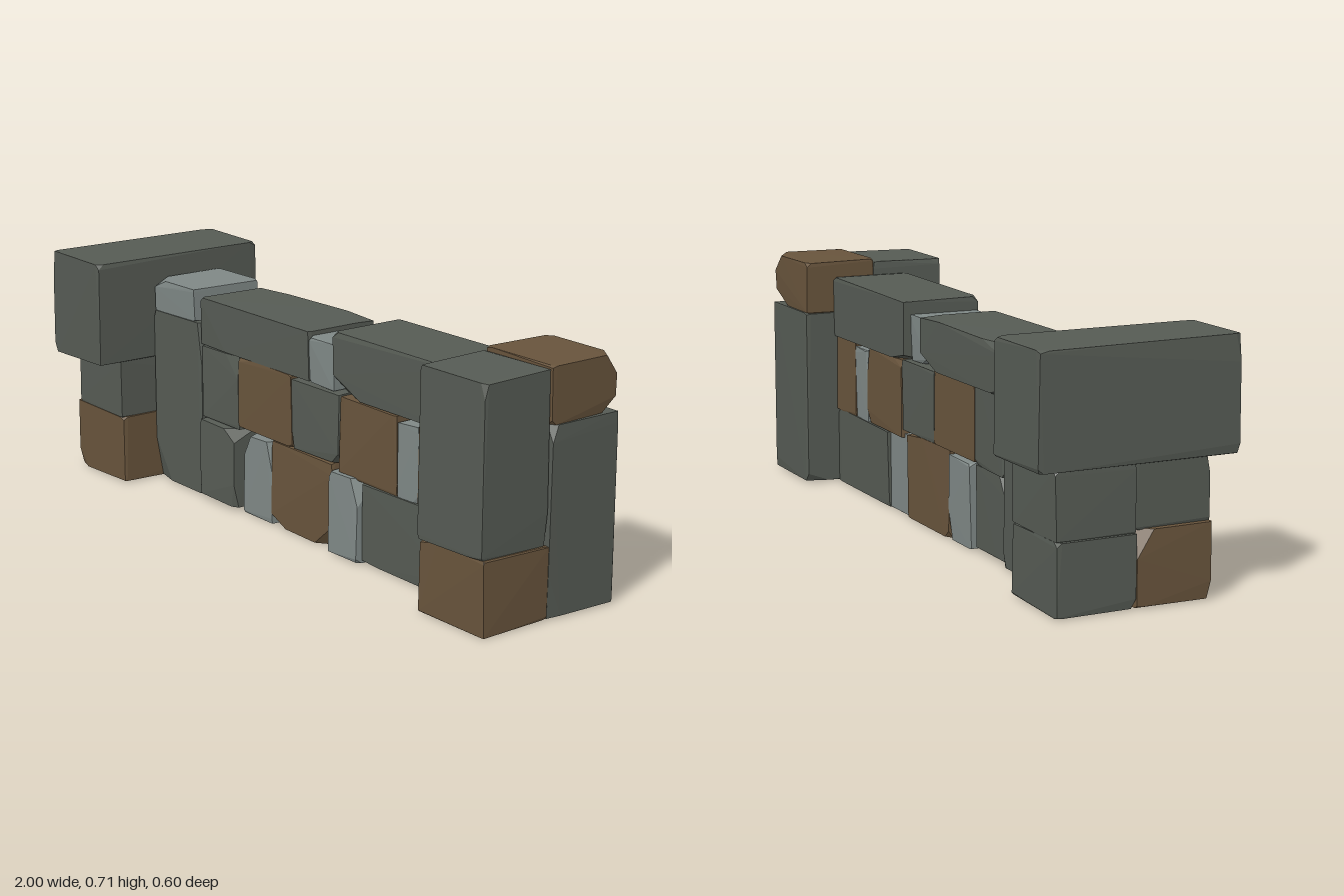
import * as THREE from 'three';
import { ConvexGeometry } from 'three/addons/geometries/ConvexGeometry.js';

const mat = (name, color) => new THREE.MeshStandardMaterial({ name, color, flatShading: true });

// small seeded random generator
function seeded(seed) {
  let s = seed * 7919 + 17;
  return () => ((s = (s * 16807) % 2147483647) / 2147483647);
}

// rough block: every box corner is chipped by three points set back along its edges
function stoneGeometry(min, max, seed) {
  const rand = seeded(seed);
  for (let i = 0; i < 5; i++) rand();
  const size = max.map((v, i) => v - min[i]);
  const points = [];
  for (let c = 0; c < 8; c++) {
    const far = [c & 1, (c >> 1) & 1, (c >> 2) & 1];
    const depth = rand() < 0.4 ? 0.38 : 0.1;
    for (let axis = 0; axis < 3; axis++) {
      const p = far.map((f, i) => {
        const cut = i === axis
          ? Math.min(0.13, size[i] * depth * rand())
          : Math.min(0.006, size[i] * 0.03) * rand();
        return f ? max[i] - cut : min[i] + cut;
      });
      points.push(new THREE.Vector3(...p));
    }
  }
  // stretch so the stone fills its slot exactly
  const box = new THREE.Box3().setFromPoints(points);
  const span = box.getSize(new THREE.Vector3());
  for (const p of points) {
    p.sub(box.min).divide(span).multiply(new THREE.Vector3(...size)).add(new THREE.Vector3(...min));
  }
  return new ConvexGeometry(points);
}

export function createModel() {
  const slate = mat('darkStone', 0x565b54);
  const pale = mat('paleStone', 0x7f8886);
  const brown = mat('brownStone', 0x68543c);
  const model = new THREE.Group();
  model.name = 'stoneWall';
  let seed = 1;

  // each row: name, material, x0, x1, y0, y1, z0, z1
  function addStones(groupName, rows) {
    const group = new THREE.Group();
    group.name = groupName;
    for (const [name, material, x0, x1, y0, y1, z0 = -0.14, z1 = 0.1] of rows) {
      const mesh = new THREE.Mesh(stoneGeometry([x0, y0, z0], [x1, y1, z1], seed++), material);
      mesh.name = name;
      group.add(mesh);
    }
    model.add(group);
  }

  addStones('rightPillar', [
    ['capStone', slate, -1, -0.735, 0.39, 0.715, -0.3, 0.3],
    ['frontMiddleStone', slate, -0.985, -0.74, 0.21, 0.395, -0.01, 0.22],
    ['frontBaseStone', brown, -1, -0.73, 0, 0.215, -0.01, 0.22],
    ['backMiddleStone', slate, -0.99, -0.73, 0.2, 0.395, -0.245, -0.005],
    ['backBaseStone', slate, -1, -0.73, 0, 0.205, -0.245, -0.005],
  ]);

  addStones('leftPillar', [
    ['frontTallStone', slate, 0.725, 0.99, 0.21, 0.7, -0.01, 0.225],
    ['frontBaseStone', brown, 0.725, 0.995, 0, 0.215, -0.01, 0.22],
    ['backTallStone', slate, 0.725, 1, 0, 0.55, -0.245, -0.008],
    ['backTopStone', brown, 0.725, 0.995, 0.545, 0.71, -0.24, -0.008],
  ]);

  // lower course
  addStones('lowerCourse', [
    ['endTallStone', slate, -0.735, -0.472, 0, 0.55],
    ['squareStone', slate, -0.465, -0.275, 0.012, 0.256, -0.13, 0.12],
    ['narrowStone', pale, -0.257, -0.112, 0, 0.255],
    ['middleStone', brown, -0.115, 0.187, 0, 0.265],
    ['narrowStone', pale, 0.188, 0.325, 0, 0.252, -0.13, 0.12],
    ['longStone', slate, 0.322, 0.73, 0, 0.24],
  ]);

  // middle course
  addStones('middleCourse', [
    ['squareStone', slate, -0.475, -0.283, 0.255, 0.487],
    ['wideStone', brown, -0.286, -0.013, 0.265, 0.487],
    ['wideStone', slate, -0.016, 0.218, 0.262, 0.48],
    ['wideStone', brown, 0.216, 0.482, 0.238, 0.475],
    ['narrowStone', pale, 0.482, 0.572, 0.235, 0.462],
    ['endStone', brown, 0.57, 0.73, 0.235, 0.478],
  ]);

  // coping along the top
  addStones('coping', [
    ['smallCopingStone', pale, -0.725, -0.507, 0.545, 0.65, -0.145, 0.1],
    ['longCopingStone', slate, -0.476, 0.068, 0.483, 0.635, -0.148, 0.1],
    ['fillerStone', pale, 0.066, 0.187, 0.48, 0.62, -0.125, 0.095],
    ['longCopingStone', slate, 0.184, 0.73, 0.472, 0.66, -0.148, 0.1],
  ]);

  return model;
}
